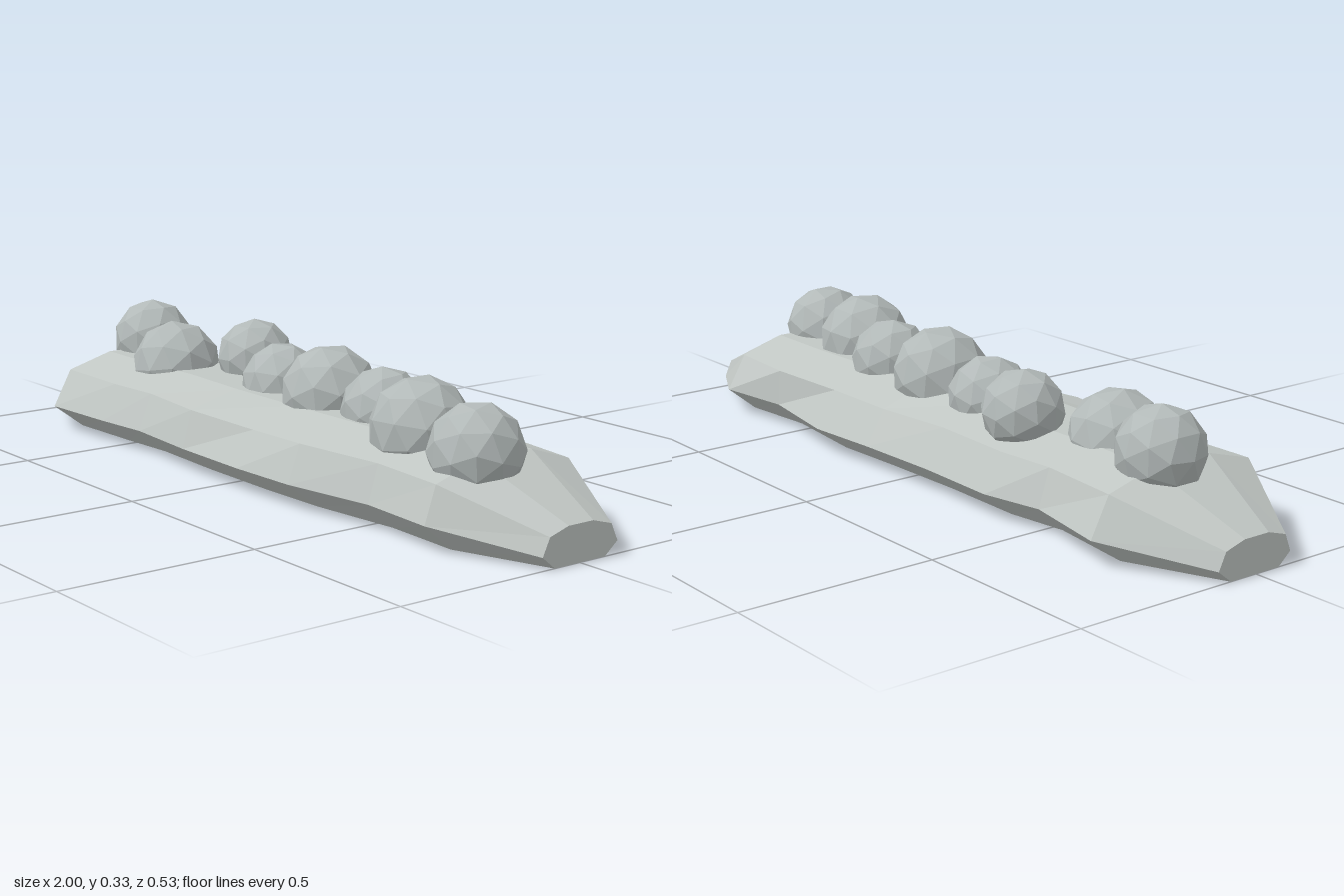
import * as THREE from 'three';

// Ridge stations: x, front half width, back half width, front upper edge, back upper edge, upper y, top y
const STATIONS = [
  [-1.0, 0.105, 0.113, 0.088, 0.093, 0.072, 0.088],
  [-0.76, 0.266, 0.265, 0.213, 0.215, 0.162, 0.198],
  [-0.53, 0.255, 0.22, 0.213, 0.19, 0.16, 0.196],
  [-0.37, 0.241, 0.252, 0.203, 0.202, 0.16, 0.198],
  [-0.14, 0.26, 0.245, 0.233, 0.195, 0.162, 0.198],
  [0.1, 0.266, 0.252, 0.215, 0.2, 0.154, 0.195],
  [0.3, 0.26, 0.265, 0.225, 0.21, 0.16, 0.198],
  [0.55, 0.221, 0.222, 0.193, 0.215, 0.158, 0.195],
  [0.76, 0.234, 0.248, 0.203, 0.195, 0.155, 0.193],
  [1.0, 0.11, 0.113, 0.09, 0.093, 0.072, 0.088],
];

// Boulders: x, y, z, radius
const BOULDERS = [
  [-0.74, 0.225, -0.045, 0.108],
  [-0.523, 0.191, 0.02, 0.119],
  [-0.32, 0.23, -0.095, 0.102],
  [-0.11, 0.203, -0.028, 0.105],
  [0.1, 0.213, -0.02, 0.124],
  [0.31, 0.209, -0.02, 0.106],
  [0.515, 0.213, 0.039, 0.123],
  [0.732, 0.203, 0.062, 0.113],
];

// Closed eight-sided section, front bottom over the top to back bottom
function section([x, front, back, upFront, upBack, upY, topY]) {
  const midY = Math.abs(x) === 1 ? 0.03 : 0.066;
  return [
    [x, 0, front * 0.67], [x, midY, front], [x, upY, upFront], [x, topY, upFront * 0.4],
    [x, topY, -upBack * 0.4], [x, upY, -upBack], [x, midY, -back], [x, 0, -back * 0.67],
  ];
}

function ridgeGeometry() {
  const rings = STATIONS.map(section);
  const n = rings[0].length;
  const index = [];
  for (let s = 0; s < rings.length - 1; s++) {
    for (let i = 0; i < n; i++) {
      const j = (i + 1) % n;
      const a = s * n + i, b = (s + 1) * n + i;
      const c = (s + 1) * n + j, d = s * n + j;
      index.push(a, b, c, a, c, d);
    }
  }
  // End caps
  const last = (rings.length - 1) * n;
  for (let i = 1; i < n - 1; i++) {
    index.push(0, i, i + 1);
    index.push(last, last + i + 1, last + i);
  }
  const geometry = new THREE.BufferGeometry();
  geometry.setAttribute('position', new THREE.Float32BufferAttribute(rings.flat(2), 3));
  geometry.setIndex(index);
  const flat = geometry.toNonIndexed();
  flat.computeVertexNormals();
  return flat;
}

function stone(name, color) {
  const material = new THREE.MeshStandardMaterial({ color, flatShading: true });
  material.name = name;
  return material;
}

export function createModel() {
  const group = new THREE.Group();
  group.name = 'stoneWall';
  const ridgeStone = stone('light grey stone', 0xc1c7c4);
  const boulderStone = stone('grey stone', 0xb2b9b8);

  const ridge = new THREE.Mesh(ridgeGeometry(), ridgeStone);
  ridge.name = 'ridge';
  group.add(ridge);

  // Row of half-sunk faceted boulders, each turned differently
  const boulderGeometry = new THREE.IcosahedronGeometry(1, 1);
  BOULDERS.forEach(([x, y, z, r], i) => {
    const boulder = new THREE.Mesh(boulderGeometry, boulderStone);
    boulder.name = `boulder${i + 1}`;
    boulder.position.set(x, y, z);
    boulder.scale.setScalar(r);
    boulder.rotation.set(i * 0.7, i * 1.3, i * 0.4);
    group.add(boulder);
  });
  return group;
}
